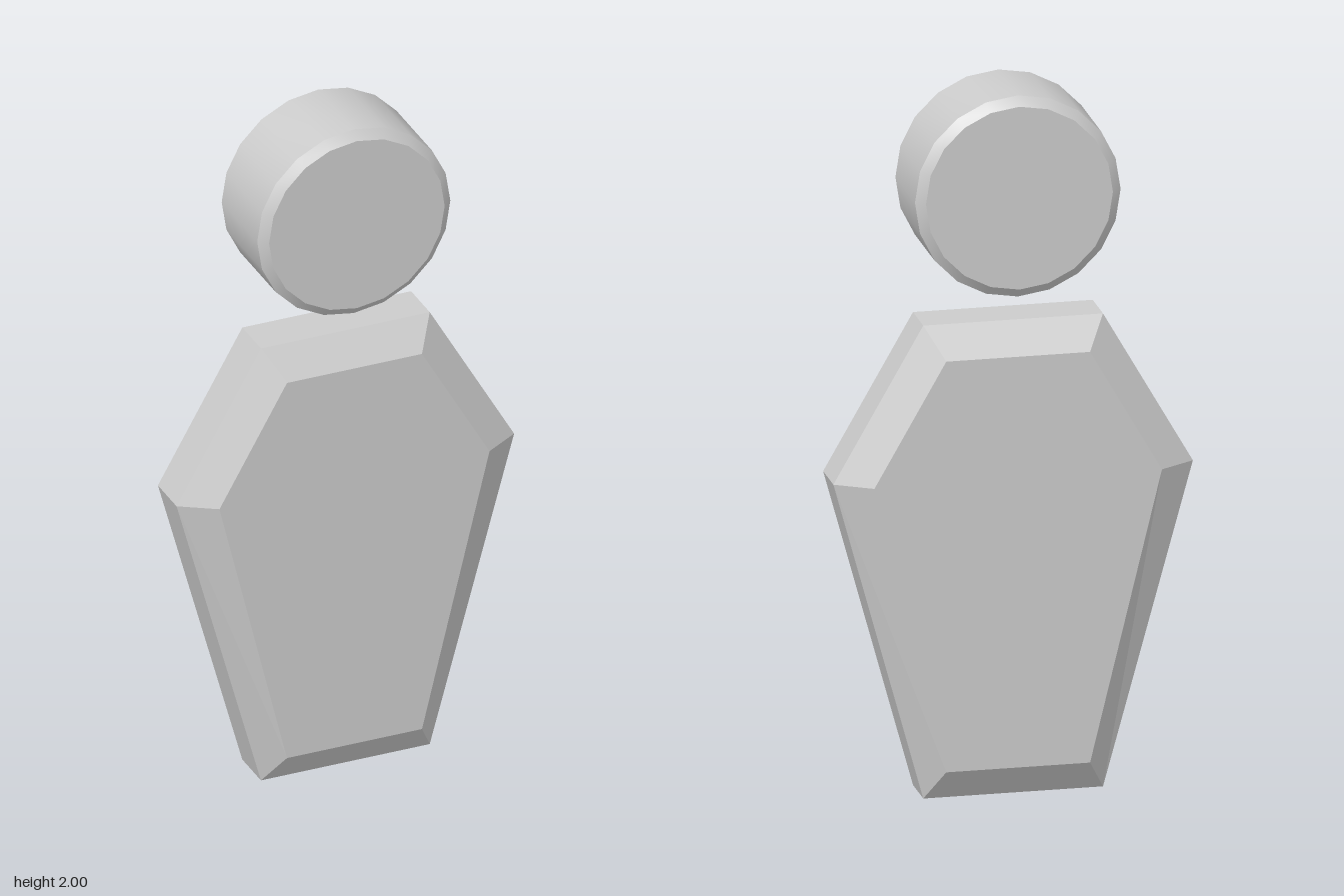
import * as THREE from 'three';
import { toCreasedNormals } from 'three/addons/utils/BufferGeometryUtils.js';

// Skins a stack of [z, outline] rings (counter-clockwise, back to front) and caps both ends.
function loft(rings) {
  const pos = [];
  const n = rings[0][1].length;
  const put = (r, i) => {
    const [z, outline] = rings[r];
    const [x, y] = outline[i % n];
    pos.push(x, y, z);
  };
  const tri = (...corners) => corners.forEach(([r, i]) => put(r, i));
  const last = rings.length - 1;
  for (let r = 0; r < last; r++) {
    for (let i = 0; i < n; i++) {
      tri([r, i], [r, i + 1], [r + 1, i + 1]);
      tri([r, i], [r + 1, i + 1], [r + 1, i]);
    }
  }
  for (let i = 1; i < n - 1; i++) {
    tri([last, 0], [last, i], [last, i + 1]);
    tri([0, 0], [0, i + 1], [0, i]);
  }
  const geometry = new THREE.BufferGeometry();
  geometry.setAttribute('position', new THREE.Float32BufferAttribute(pos, 3));
  geometry.computeVertexNormals();
  return geometry;
}

// Six-sided outline from half widths and heights of bottom, shoulder and top.
const hexagon = ([bw, by], [sw, sy], [tw, ty]) =>
  [[-bw, by], [bw, by], [sw, sy], [tw, ty], [-tw, ty], [-sw, sy]];

export function createModel() {
  const group = new THREE.Group();
  const grey = new THREE.MeshStandardMaterial({ color: 0xcccccc });
  const faceted = new THREE.MeshStandardMaterial({ color: 0xcccccc, flatShading: true });

  // Tapered body with wide bevels front and back
  const rim = hexagon([0.25, 0], [0.5, 0.91], [0.25, 1.345]);
  const face = hexagon([0.2, 0.09], [0.4, 0.91], [0.2, 1.258]);
  const body = new THREE.Mesh(
    loft([[-0.125, face], [-0.063, rim], [0.063, rim], [0.125, face]]), faceted);
  body.name = 'body';
  group.add(body);

  // Floating disc head with a small chamfer on each rim
  const profile = [[0, -0.141], [0.26, -0.141], [0.286, -0.12], [0.286, 0.12], [0.26, 0.141], [0, 0.141]]
    .map(([r, y]) => new THREE.Vector2(r, y));
  const disc = toCreasedNormals(new THREE.LatheGeometry(profile, 20), Math.PI / 7);
  const head = new THREE.Mesh(disc.rotateX(Math.PI / 2), grey);
  head.name = 'head';
  head.position.y = 1.714;
  group.add(head);

  return group;
}
